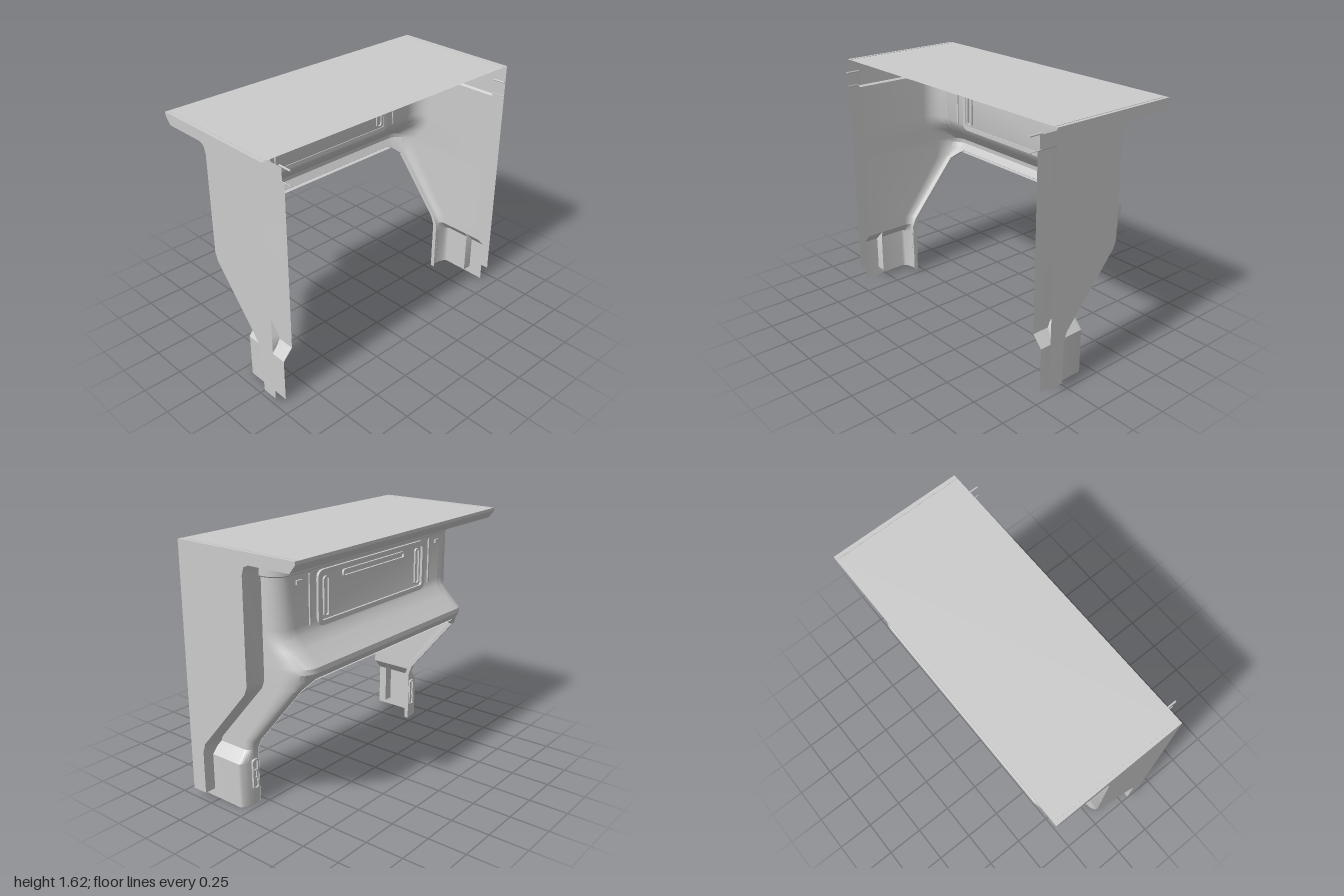
import * as THREE from 'three';
import { toCreasedNormals } from 'three/addons/utils/BufferGeometryUtils.js';

const mat = new THREE.MeshStandardMaterial({ color: 0xcccccc, side: THREE.DoubleSide });

// Sheet lofted through rows of [x, y, z] points
function sheet(rows) {
  const n = rows[0].length, index = [];
  for (let i = 0; i < rows.length - 1; i++)
    for (let j = 0; j < n - 1; j++) {
      const a = i * n + j, b = a + n;
      index.push(a, a + 1, b, a + 1, b + 1, b);
    }
  const g = new THREE.BufferGeometry();
  g.setAttribute('position', new THREE.Float32BufferAttribute(rows.flat(2), 3));
  g.setIndex(index);
  return toCreasedNormals(g, 0.5);
}

// Strip that carries a z-y profile from x0 to x1
const strip = (profile, x0, x1) => sheet(profile.map(([z, y]) => [[x0, y, z], [x1, y, z]]));

function roundedRect(w, h, r, Type = THREE.Shape) {
  const s = new Type(), x = w / 2, y = h / 2;
  s.moveTo(-x + r, -y);
  s.lineTo(x - r, -y); s.quadraticCurveTo(x, -y, x, -y + r);
  s.lineTo(x, y - r); s.quadraticCurveTo(x, y, x - r, y);
  s.lineTo(-x + r, y); s.quadraticCurveTo(-x, y, -x, y - r);
  s.lineTo(-x, -y + r); s.quadraticCurveTo(-x, -y, -x + r, -y);
  return s;
}

// Pressed rim: a rounded frame of the given wall width
function rim(w, h, r, wall, depth) {
  const s = roundedRect(w, h, r);
  s.holes.push(roundedRect(w - 2 * wall, h - 2 * wall, Math.max(r - wall, 0.004), THREE.Path));
  return new THREE.ExtrudeGeometry(s, { depth, bevelEnabled: false, curveSegments: 6 });
}

// Inner shell, bottom to top: [y, wall x, inner edge x, rear z, corner depth]
const shellRows = [
  [0, 0.925, 0.79, 0.04, 0.04],
  [0.29, 0.925, 0.79, 0.04, 0.04],
  [0.36, 0.86, 0.79, 0.04, 0.05],
  [0.42, 0.86, 0.79, 0.015, 0.07],
  [0.82, 0.86, 0.785, -0.315, 0.10],
  [0.88, 0.86, 0.71, -0.36, 0.13],
  [0.925, 0.86, 0.70, -0.388, 0.15],
  [0.955, 0.86, 0.70, -0.385, 0.17],
  [1.04, 0.86, 0.70, -0.29, 0.14],
  [1.10, 0.86, 0.71, -0.235, 0.12],
  [1.15, 0.86, 0.72, -0.22, 0.11],
  [1.455, 0.86, 0.74, -0.22, 0.11],
  [1.465, 0.875, 0.74, -0.237, 0.11],
  [1.55, 0.875, 0.74, -0.237, 0.11],
];

// Side skin outline as [z, y]; the first eight points carry the return flange
const skin = [
  [0.295, 0.055], [0.295, 0.33], [0.275, 0.39], [-0.08, 0.80], [-0.1, 0.85],
  [-0.1, 1.49], [-0.115, 1.535], [-0.15, 1.55], [-0.44, 1.55], [-0.48, 1.60],
  [-0.48, 1.62], [0.4, 1.62], [0.4, 0.055],
];

export function createModel() {
  const model = new THREE.Group();
  const add = (name, geo, x = 0, y = 0, z = 0) => {
    const m = new THREE.Mesh(geo, mat);
    m.name = name;
    m.position.set(x, y, z);
    model.add(m);
    return m;
  };

  // Top sheet with its overhanging rear lip
  add('topPanel', strip([[-0.1, 1.55], ...skin.slice(8, 12)], -1, 1));

  for (const s of [1, -1]) {
    // Outer skin and the flange along its rear edge
    const outline = new THREE.Shape(skin.map(([z, y]) => new THREE.Vector2(-z, y)));
    add('sidePanel', new THREE.ShapeGeometry(outline), s).rotation.y = Math.PI / 2;
    add('sideFlange', strip(skin.slice(0, 8), s, s * 0.86));
    add('gutter', new THREE.BoxGeometry(0.008, 0.004, 0.87), s * 0.975, 1.62, -0.04);

    // Inner wall with its rounded rear corner
    add('innerWall', sheet(shellRows.map(([y, xw, xi, zb, rz]) => {
      const row = [[s * xw, y, 0.4]], xc = xi + 0.025;
      for (let k = 0; k <= 8; k++) {
        const t = k / 8 * Math.PI / 2;
        row.push([s * (xc + (xw - xc) * Math.cos(t)), y, zb + rz * (1 - Math.sin(t))]);
      }
      row.push([s * xi, y, zb]);
      return row;
    })));
    // Folded edge down the inside of the leg
    add('legEdge', sheet(shellRows.slice(0, 6).map(([y, , xi, zb]) =>
      [[s * xi, y, zb - 0.004], [s * xi, y, zb + 0.025]])));

    // Pressings on the leg foot
    add('footRim', rim(0.05, 0.2, 0.02, 0.01, 0.014), s * 0.825, 0.2, 0.028);
    add('footSlot', rim(0.03, 0.06, 0.012, 0.008, 0.012), s * 0.825, 0.2, 0.03);

    // Pressings on the rear wall
    add('sideRib', new THREE.BoxGeometry(0.014, 0.3, 0.016), s * 0.60, 1.29, -0.222);
    add('gripRim', rim(0.05, 0.24, 0.022, 0.008, 0.024), s * 0.46, 1.28, -0.232);
    add('clip', new THREE.BoxGeometry(0.045, 0.025, 0.024), s * 0.69, 1.41, -0.22);

    // Thin pins at the front upper corners
    for (const [y, r] of [[1.56, 0.006], [1.47, 0.003]])
      add('pin', new THREE.CylinderGeometry(r, r, 0.09, 8), s * 0.88, y, 0.435).rotation.x = Math.PI / 2;
  }

  // Rear wall and folded sill between the two corners
  add('rearWall', sheet(shellRows.slice(5).map(([y, , xi, zb]) => [[-xi, y, zb], [xi, y, zb]])));
  add('sillEdge', strip([[-0.364, 0.876], [-0.335, 0.876]], -0.71, 0.71));

  // Centre frame and long slot pressed into the rear wall
  add('centreFrame', rim(1.08, 0.33, 0.05, 0.03, 0.02), 0, 1.28, -0.236);
  add('longSlot', rim(0.62, 0.045, 0.02, 0.009, 0.018), 0, 1.385, -0.234);
  return model;
}
